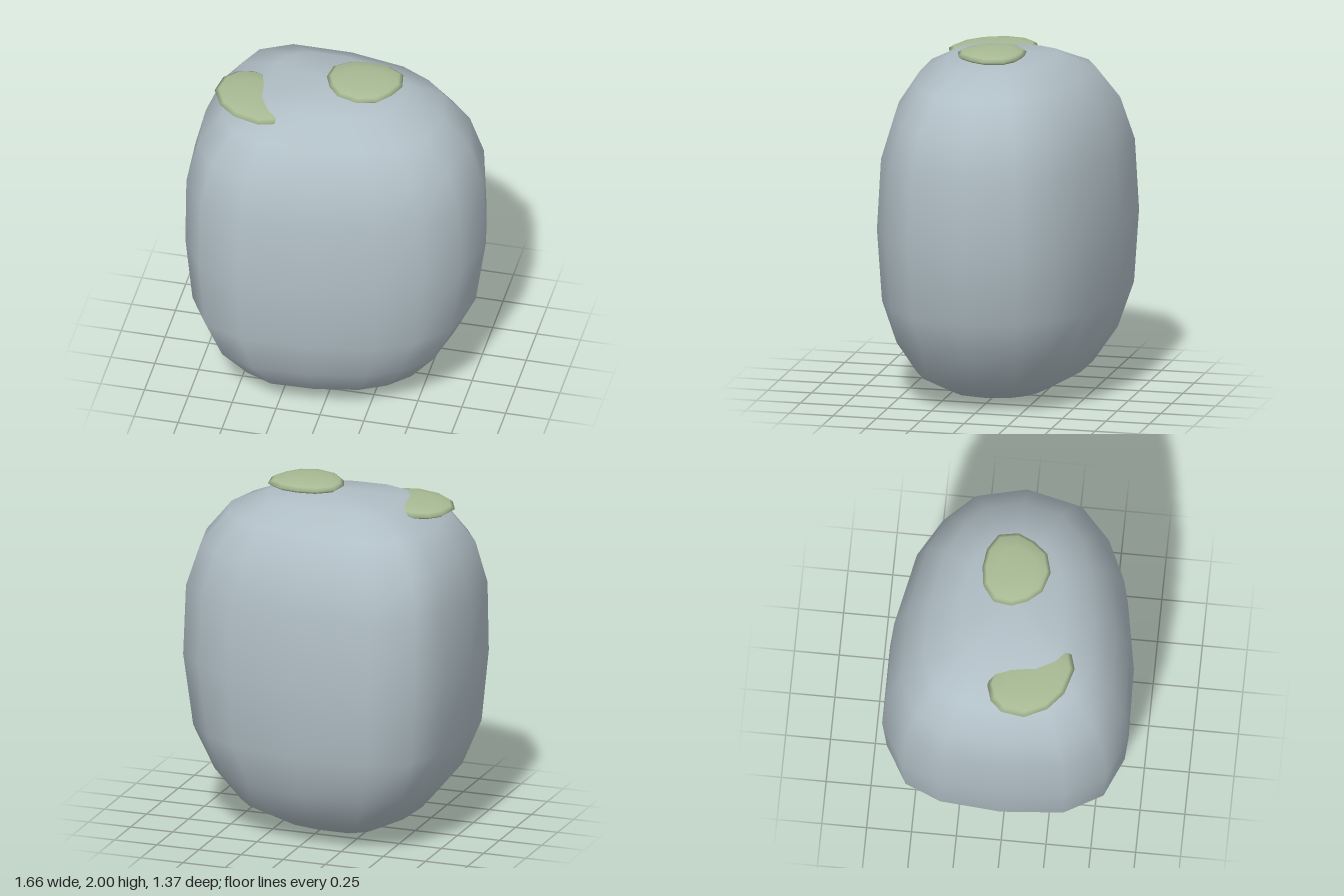
import * as THREE from 'three';

// Closed smooth blob: a plan outline [x, z], counter-clockwise from above, scaled
// at each level [y, scaleX, scaleZ, shiftX], with a pole at each end
function blob(outline, levels, bottom, top) {
  const n = outline.length;
  const pos = [...bottom];
  for (const [y, sx, sz, dx] of levels)
    for (const [x, z] of outline) pos.push(x * sx + dx, y, z * sz);
  pos.push(...top);
  const last = pos.length / 3 - 1;
  const index = [];
  for (let i = 0; i < n; i++) {
    const j = (i + 1) % n;
    index.push(0, 1 + j, 1 + i);
    for (let r = 0; r < levels.length - 1; r++) {
      const a = 1 + r * n + i, b = 1 + r * n + j;
      index.push(a, b, b + n, a, b + n, a + n);
    }
    index.push(last - n + i, last - n + j, last);
  }
  const geo = new THREE.BufferGeometry();
  geo.setAttribute('position', new THREE.Float32BufferAttribute(pos, 3));
  geo.setIndex(index);
  geo.computeVertexNormals();
  return geo;
}

// Flat moss cushion: the outline swept through a squashed round profile
function cushion(outline, thickness) {
  const levels = [];
  for (let k = 1; k < 6; k++) {
    const a = -Math.PI / 2 + (k * Math.PI) / 6;
    const s = Math.pow(Math.cos(a), 0.8);
    levels.push([Math.sin(a) * thickness, s, s, 0]);
  }
  return blob(outline, levels, [0, -thickness, 0], [0, thickness, 0]);
}

export function createModel() {
  const model = new THREE.Group();
  const stone = new THREE.MeshStandardMaterial({ color: 0xb0bec5 });
  const moss = new THREE.MeshStandardMaterial({ color: 0xa8ba94 });

  const add = (name, geo, mat, x = 0, y = 0, z = 0) => {
    const mesh = new THREE.Mesh(geo, mat);
    mesh.name = name;
    mesh.position.set(x, y, z);
    model.add(mesh);
  };

  // Boulder: egg-shaped plan, blunt at -x and narrowing to +x
  const plan = [
    [0.83, 0], [0.76, -0.31], [0.61, -0.47], [0.39, -0.6],
    [-0.03, -0.69], [-0.48, -0.69], [-0.71, -0.56], [-0.8, -0.35],
    [-0.83, 0], [-0.8, 0.36], [-0.67, 0.58], [-0.43, 0.68],
    [-0.03, 0.67], [0.35, 0.6], [0.58, 0.49], [0.76, 0.32],
  ];
  const levels = [
    [0.04, 0.385, 0.425, -0.03], [0.14, 0.625, 0.68, -0.02],
    [0.32, 0.805, 0.85, -0.02], [0.57, 0.94, 0.965, -0.01],
    [0.98, 1, 1, 0], [1.38, 0.99, 0.965, -0.005],
    [1.62, 0.907, 0.855, -0.015], [1.8, 0.74, 0.68, -0.025],
    [1.9, 0.463, 0.425, -0.025],
  ];
  add('boulder', blob(plan, levels, [-0.03, 0, 0], [-0.02, 1.935, 0]), stone);

  // Moss patch on the crown
  const crown = [
    [0.215, -0.01], [0.195, -0.12], [0.105, -0.175], [0, -0.19],
    [-0.11, -0.175], [-0.2, -0.11], [-0.215, -0.01], [-0.18, 0.08],
    [-0.115, 0.155], [0, 0.19], [0.11, 0.16], [0.175, 0.08],
  ];
  add('crownMoss', cushion(crown, 0.034), moss, 0.135, 1.966, 0);

  // Moss patch half sunk into the shoulder; the outline is point-symmetric
  const half = [
    [-0.22, -0.145], [-0.24, -0.018], [-0.18, 0.108],
    [-0.08, 0.193], [0.07, 0.237], [0.16, 0.21],
  ];
  const shoulder = [...half, ...half.map(([x, z]) => [-x, -z])];
  add('shoulderMoss', cushion(shoulder, 0.034), moss, -0.45, 1.86, 0.137);

  return model;
}
